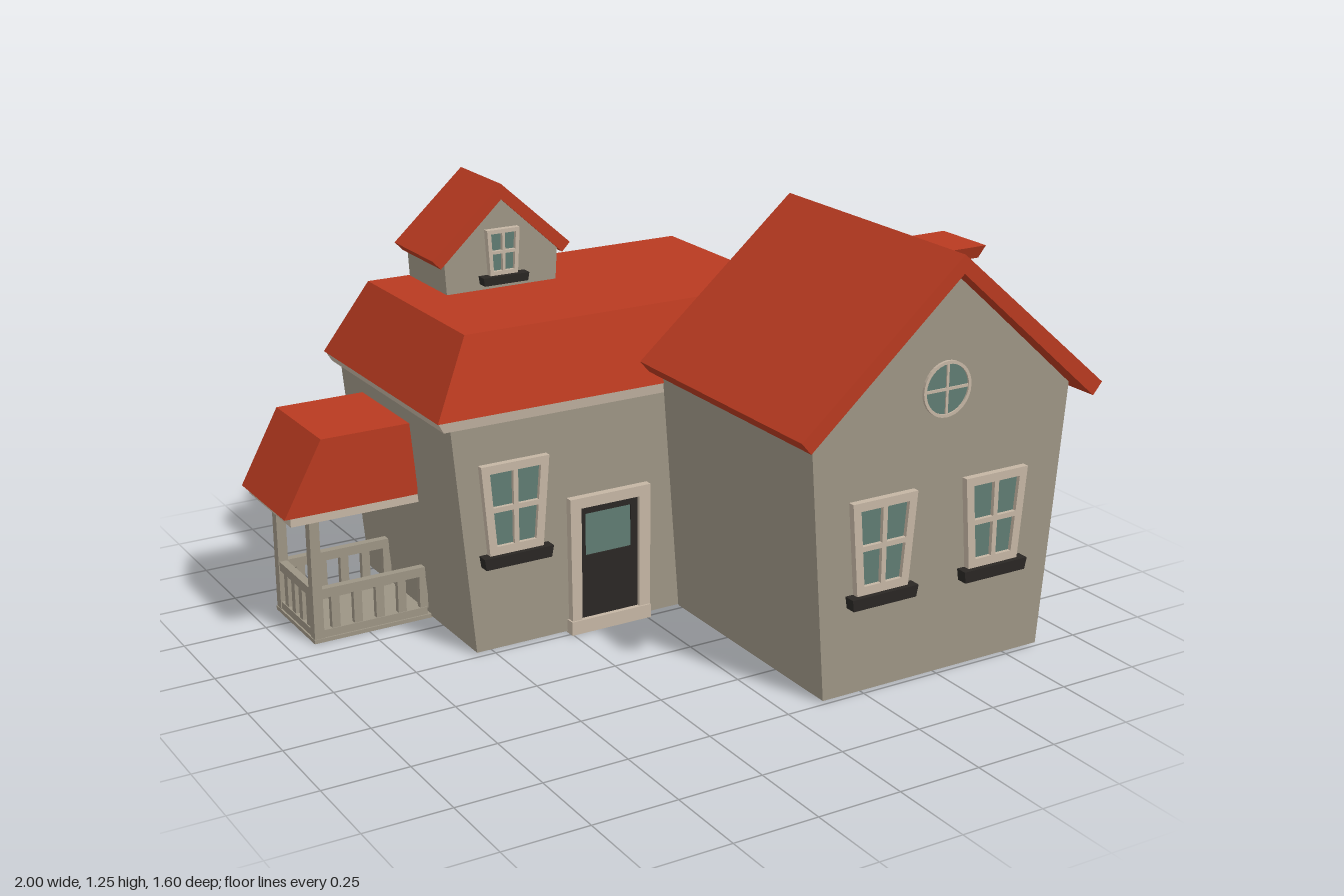
import * as THREE from 'three';

const mat = (color, side = THREE.FrontSide) =>
  new THREE.MeshStandardMaterial({ color, side, flatShading: true });
const WALL = mat(0x9c9484), ROOF = mat(0xb83a20), TRIM = mat(0xc4b5a3);
const DARK = mat(0x2a2724), GLASS = mat(0x5f7b72);

function add(parent, name, geometry, material) {
  const mesh = new THREE.Mesh(geometry, material);
  mesh.name = name;
  parent.add(mesh);
  return mesh;
}

// Box given by its limits
function box(parent, name, material, x0, x1, y0, y1, z0, z1) {
  const g = new THREE.BoxGeometry(x1 - x0, y1 - y0, z1 - z0);
  g.translate((x0 + x1) / 2, (y0 + y1) / 2, (z0 + z1) / 2);
  return add(parent, name, g, material);
}

// Box whose bottom and top rectangles [x0, x1, z0, z1] differ
function taper(parent, name, material, y0, bottom, y1, top) {
  const g = new THREE.BoxGeometry(1, 1, 1).toNonIndexed();
  const p = g.attributes.position;
  for (let i = 0; i < p.count; i++) {
    const up = p.getY(i) > 0, r = up ? top : bottom;
    p.setXYZ(i, p.getX(i) > 0 ? r[1] : r[0], up ? y1 : y0, p.getZ(i) > 0 ? r[3] : r[2]);
  }
  g.computeVertexNormals();
  return add(parent, name, g, material);
}

const poly = (pts) => new THREE.Shape(pts.map(([x, y]) => new THREE.Vector2(x, y)));

// Outline in x, y pushed from z0 to z1
function prism(parent, name, material, shape, z0, z1) {
  const g = new THREE.ExtrudeGeometry(shape, { depth: z1 - z0, bevelEnabled: false, curveSegments: 16 });
  g.translate(0, 0, z0);
  return add(parent, name, g, material);
}

// Gable roof: a chevron with square-cut eaves
function gableRoof(parent, name, cx, apex, halfOut, eaveOut, halfIn, eaveIn, apexIn, z0, z1) {
  prism(parent, name, ROOF, poly([
    [cx, apex], [cx - halfOut, eaveOut], [cx - halfIn, eaveIn],
    [cx, apexIn], [cx + halfIn, eaveIn], [cx + halfOut, eaveOut],
  ]), z0, z1);
}

// Four-pane window that widens upwards, with a dark sill
function windowUnit(parent, name, x, y, z, wBottom, wTop, h, border, bar, sillW, sillH) {
  const group = new THREE.Group();
  group.name = name;
  group.position.set(x, y, z);
  const half = (v) => (wBottom + (wTop - wBottom) * v / h) / 2;
  const outline = [[-half(0), 0], [half(0), 0], [half(h), h], [-half(h), h]];
  const frame = poly(outline);
  for (const s of [-1, 1]) {
    for (const [a, b] of [[border, h / 2 - bar / 2], [h / 2 + bar / 2, h - border]]) {
      frame.holes.push(poly([
        [s * bar / 2, a], [s * (half(a) - border), a],
        [s * (half(b) - border), b], [s * bar / 2, b],
      ]));
    }
  }
  prism(group, 'windowFrame', TRIM, frame, 0, 0.02);
  prism(group, 'windowGlass', GLASS, poly(outline.map(([a, b]) => [a * 0.9, b * 0.9 + h * 0.05])), 0, 0.008);
  const w = sillW / 2;
  taper(group, 'windowSill', DARK, -sillH, [-w * 0.95, w * 0.95, 0, 0.033], 0, [-w, w, 0, 0.035]);
  parent.add(group);
}

function mainHouse() {
  const g = new THREE.Group();
  g.name = 'mainHouse';
  taper(g, 'mainWalls', WALL, 0.005, [-0.55, 0.55, -0.77, -0.018], 0.7, [-0.615, 0.605, -0.77, -0.018]);
  taper(g, 'cornice', TRIM, 0.685, [-0.635, 0.625, -0.785, -0.014], 0.715, [-0.652, 0.642, -0.793, -0.01]);
  taper(g, 'hipRoof', ROOF, 0.715, [-0.655, 0.645, -0.797, -0.008], 0.935, [-0.535, 0.525, -0.72, -0.075]);
  windowUnit(g, 'mainWindow', -0.425, 0.3, -0.018, 0.17, 0.215, 0.27, 0.025, 0.015, 0.22, 0.035);

  // Door with surround and step
  const z = -0.018;
  const surround = poly([[-0.25, 0.03], [0.01, 0.03], [0.012, 0.42], [-0.254, 0.42]]);
  surround.holes.push(poly([[-0.218, 0.04], [-0.218, 0.388], [-0.026, 0.388], [-0.026, 0.04]]));
  prism(g, 'doorFrame', TRIM, surround, z, 0.006);
  const leaf = poly([[-0.22, 0.03], [-0.024, 0.03], [-0.024, 0.39], [-0.22, 0.39]]);
  leaf.holes.push(poly([[-0.2, 0.235], [-0.2, 0.365], [-0.048, 0.365], [-0.048, 0.235]]));
  prism(g, 'door', DARK, leaf, z, -0.004);
  box(g, 'doorGlass', GLASS, -0.205, -0.043, 0.23, 0.37, z, -0.009);
  box(g, 'doorStep', TRIM, -0.255, 0.01, 0, 0.042, -0.1, 0.011);
  return g;
}

function frontWing() {
  const g = new THREE.Group();
  g.name = 'frontWing';
  prism(g, 'wingWalls', WALL, poly([
    [0.12, 0.005], [0.865, 0.005], [0.93, 0.785], [0.495, 1.172], [0.06, 0.785],
  ]), -0.012, 0.74);
  gableRoof(g, 'wingRoof', 0.495, 1.222, 0.505, 0.79, 0.475, 0.755, 1.17, -0.016, 0.798);
  for (const x of [0.295, 0.675]) {
    windowUnit(g, 'wingWindow', x, 0.3, 0.74, 0.17, 0.215, 0.27, 0.025, 0.015, 0.22, 0.035);
  }

  // Round window: ring, crossbars and pane
  const ring = new THREE.Shape().absarc(0.497, 0.838, 0.08, 0, Math.PI * 2);
  ring.holes.push(new THREE.Path().absarc(0.497, 0.838, 0.071, 0, Math.PI * 2, true));
  prism(g, 'roundWindowFrame', TRIM, ring, 0.735, 0.748);
  prism(g, 'roundWindowGlass', GLASS, new THREE.Shape().absarc(0.497, 0.838, 0.074, 0, Math.PI * 2), 0.735, 0.743);
  box(g, 'roundWindowBar', TRIM, 0.493, 0.501, 0.765, 0.911, 0.735, 0.747);
  box(g, 'roundWindowBar', TRIM, 0.424, 0.57, 0.834, 0.842, 0.735, 0.747);

  // Chimney
  box(g, 'chimney', WALL, 0.705, 0.81, 0.88, 1.09, 0.302, 0.422);
  taper(g, 'chimneyCap', ROOF, 1.087, [0.688, 0.83, 0.282, 0.442], 1.125, [0.672, 0.843, 0.266, 0.458]);
  return g;
}

function dormer() {
  const g = new THREE.Group();
  g.name = 'dormer';
  prism(g, 'dormerWalls', WALL, poly([
    [-0.4, 0.92], [-0.042, 0.92], [-0.035, 1.035], [-0.22, 1.205], [-0.407, 1.035],
  ]), -0.714, -0.46);
  gableRoof(g, 'dormerRoof', -0.22, 1.246, 0.226, 1.043, 0.2, 1.016, 1.2, -0.716, -0.455);
  windowUnit(g, 'dormerWindow', -0.222, 0.978, -0.46, 0.09, 0.107, 0.137, 0.012, 0.009, 0.15, 0.025);
  return g;
}

function porch() {
  const g = new THREE.Group();
  g.name = 'porch';
  const x0 = -0.92, x1 = -0.56, back = -0.608, front = -0.32, t = 0.03;
  box(g, 'porchFloor', WALL, -0.922, -0.48, 0, 0.012, back - 0.002, front + 0.002);
  prism(g, 'porchRoof', ROOF, poly([
    [-1, 0.405], [-0.59, 0.405], [-0.59, 0.625], [-0.88, 0.625],
  ]), -0.628, -0.3);

  // Beams under the roof edge
  box(g, 'porchBeam', TRIM, -0.98, -0.94, 0.378, 0.405, -0.622, -0.306);
  for (const z of [-0.622, -0.346]) box(g, 'porchBeam', TRIM, -0.94, -0.57, 0.378, 0.405, z, z + 0.04);
  box(g, 'porchBeam', TRIM, -0.94, -0.885, 0.378, 0.405, -0.582, -0.346);

  // Posts with front and back railings
  for (const z of [back, front - t]) {
    box(g, 'porchPost', WALL, x0, x0 + t, 0.01, 0.38, z, z + t);
    for (const [a, b] of [[0.01, 0.035], [0.135, 0.163]]) {
      box(g, 'railing', WALL, x0 + t, x1, a, b, z + 0.003, z + t - 0.003);
    }
    for (let i = 0; i < 5; i++) {
      const x = -0.862 + i * 0.07;
      box(g, 'baluster', WALL, x, x + 0.026, 0.03, 0.14, z + 0.006, z + t - 0.006);
    }
  }
  // End railing
  for (const [a, b] of [[0.01, 0.035], [0.135, 0.163]]) {
    box(g, 'railing', WALL, x0 + 0.003, x0 + t - 0.003, a, b, back + t, front - t);
  }
  for (let i = 0; i < 4; i++) {
    const z = -0.55 + i * 0.055;
    box(g, 'baluster', WALL, x0 + 0.006, x0 + t - 0.006, 0.03, 0.14, z - 0.005, z + 0.02);
  }
  return g;
}

export function createModel() {
  const model = new THREE.Group();
  model.name = 'house';
  model.add(mainHouse(), frontWing(), dormer(), porch());
  return model;
}
